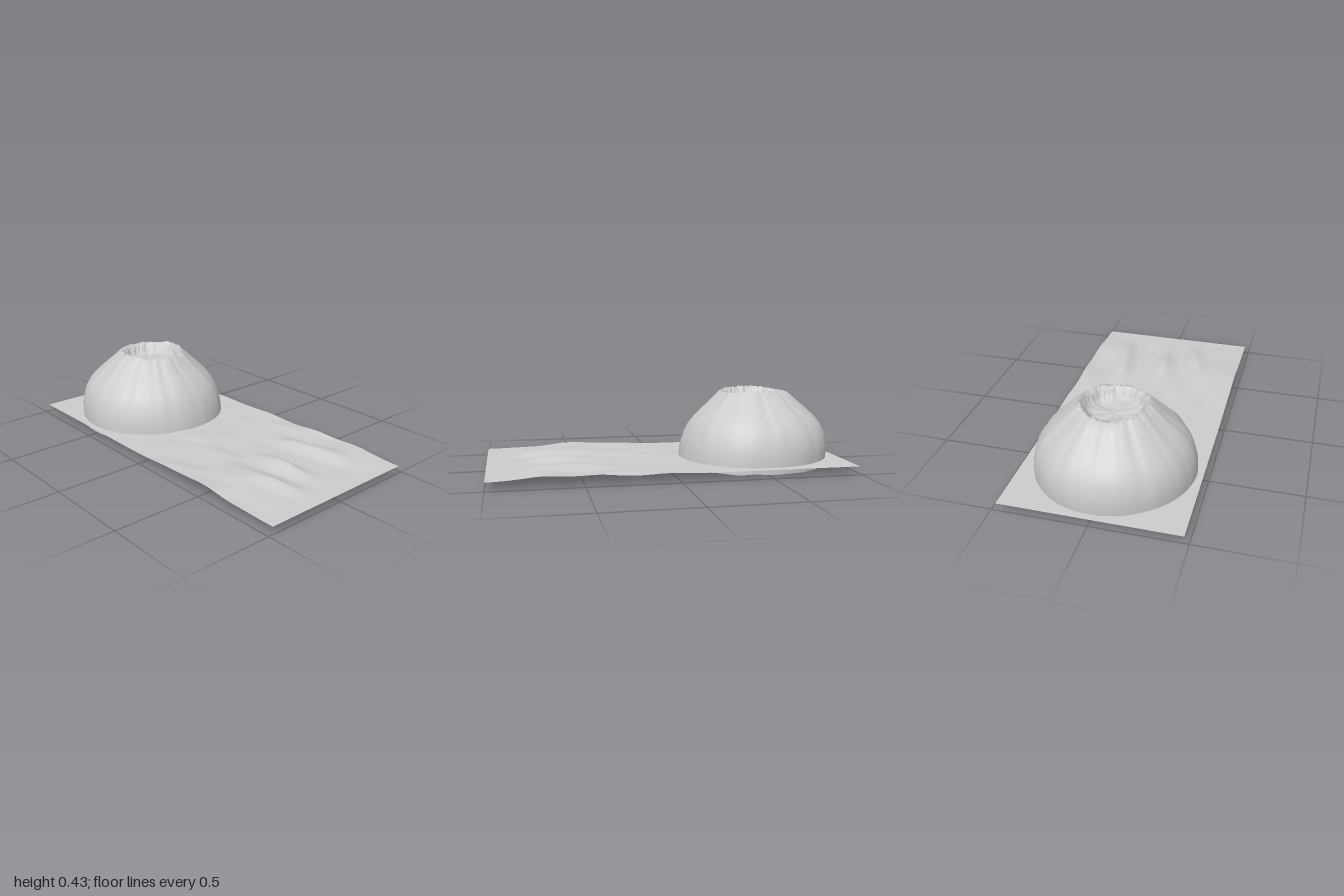
import * as THREE from 'three';

const material = new THREE.MeshStandardMaterial({ color: 0xcccccc, side: THREE.DoubleSide });
const CENTRE_X = -0.525, CENTRE_Z = 0.005, SEGMENTS = 112;

// Repeatable value in 0..1 for a grid cell
function hash(i, j) {
  const s = Math.sin(i * 127.1 + j * 311.7) * 43758.5453;
  return s - Math.floor(s);
}

// Smooth value noise in 0..1
function noise(x, y) {
  const i = Math.floor(x), j = Math.floor(y);
  const u = THREE.MathUtils.smoothstep(x - i, 0, 1);
  const v = THREE.MathUtils.smoothstep(y - j, 0, 1);
  const lerp = THREE.MathUtils.lerp;
  return lerp(lerp(hash(i, j), hash(i + 1, j), u), lerp(hash(i, j + 1), hash(i + 1, j + 1), u), v);
}

// Smooth surface through rings given by point(ring, angle) -> [radius, y]
function ringSurface(name, rings, point) {
  const geometry = new THREE.PlaneGeometry(1, 1, SEGMENTS, rings);
  const pos = geometry.attributes.position;
  const row = SEGMENTS + 1;
  for (let k = 0; k < pos.count; k++) {
    const j = k % SEGMENTS === 0 && k % row === SEGMENTS ? 0 : (k % row) % SEGMENTS;
    const a = (j / SEGMENTS) * Math.PI * 2;
    const [r, y] = point(rings - Math.floor(k / row), a, j);
    pos.setXYZ(k, Math.sin(a) * r, y, Math.cos(a) * r);
  }
  geometry.computeVertexNormals();
  const mesh = new THREE.Mesh(geometry, material);
  mesh.name = name;
  mesh.position.set(CENTRE_X, 0, CENTRE_Z);
  return mesh;
}

// Rim line shared by the slope and the crater wall
function rim(a, j) {
  const y = 0.422 + 0.008 * Math.cos(2 * a) + 0.012 * (hash(j, 3) - 0.5);
  return [0.178 + 0.014 * (hash(j, 5) - 0.5), y];
}

// Outer slope: steep skirt rounding over to the rim, with folds that deepen upwards
function slope() {
  const profile = [[0.43, 0.008], [0.431, 0.05], [0.428, 0.1], [0.42, 0.14], [0.405, 0.19],
    [0.38, 0.235], [0.347, 0.275], [0.307, 0.313], [0.265, 0.35], [0.225, 0.388], [0.195, 0.415]];
  return ringSurface('mountainSlope', profile.length, (i, a, j) => {
    if (i === profile.length) return rim(a, j);
    const [r, y] = profile[i];
    const t = i / profile.length;
    const folds = Math.sin(9 * a + 1) * 0.4 + Math.sin(17 * a + 2.3) * 0.3 + Math.sin(29 * a + t * 2) * 0.25;
    const bulge = 0.004 * Math.sin(3 * a + 1) - 0.016 * Math.sin(a) * Math.sin(Math.PI * t);
    const foot = i === 0 ? 0.008 * noise(j / 4, 9) - 0.008 : 0;
    return [r + bulge + folds * 0.014 * t * (1.2 - t), y + foot + folds * 0.006 * t * t];
  });
}

// Crater: ragged inner wall dropping to an uneven floor
function crater() {
  const profile = [null, [0.163, 0.41], [0.15, 0.39], [0.138, 0.365], [0.105, 0.358],
    [0.07, 0.354], [0.035, 0.352], [0, 0.35]];
  return ringSurface('crater', profile.length - 1, (i, a, j) => {
    if (i === 0) return rim(a, j);
    const [r, y] = profile[i];
    const wall = i < 4 ? 0.014 * (hash(j, i + 20) - 0.5) : 0;
    const x = Math.sin(a) * r, z = Math.cos(a) * r;
    return [r + wall, y + 0.018 * (noise(x * 35 + 50, z * 35 + 50) - 0.5)];
  });
}

// Ground sheet: flat below the mountain, rising into long low ripples
function ground() {
  const geometry = new THREE.PlaneGeometry(2, 0.95, 40, 38);
  geometry.rotateX(-Math.PI / 2);
  const pos = geometry.attributes.position;
  for (let k = 0; k < pos.count; k++) {
    const x = pos.getX(k), z = pos.getZ(k);
    const swell = THREE.MathUtils.smoothstep(x, -0.35, 0.65) * THREE.MathUtils.smoothstep(1 - x, 0, 0.4);
    const ripple = noise(x * 4 + 20, z * 11 + 31 + x * 1.5);
    const peak = 0.032 * Math.exp(-(((x - 0.6) / 0.13) ** 2) - (z / 0.035) ** 2);
    pos.setY(k, 0.042 + swell * 0.045 * ripple ** 1.4 + peak);
  }
  geometry.computeVertexNormals();
  const mesh = new THREE.Mesh(geometry, material);
  mesh.name = 'ground';
  return mesh;
}

export function createModel() {
  const model = new THREE.Group();
  model.name = 'craterMountain';
  model.add(slope(), crater(), ground());
  return model;
}
